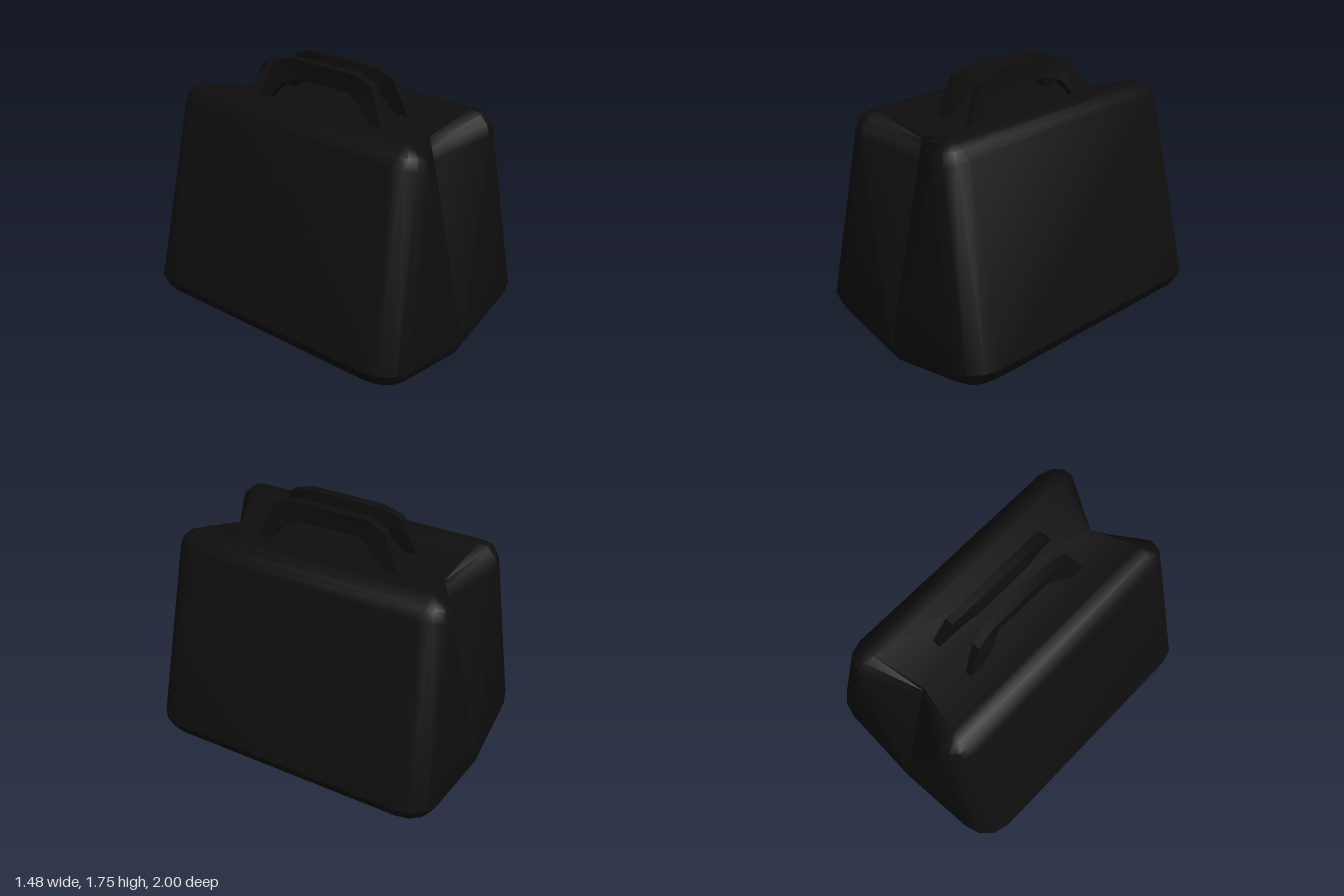
import * as THREE from 'three';
import { toCreasedNormals } from 'three/addons/utils/BufferGeometryUtils.js';

// Skins a list of equal-length rings; caps are quads of ring indices.
function loft(rings, caps, crease) {
  const out = [];
  const tri = (...pts) => {
    const [a, b, c] = pts.map((p) => new THREE.Vector3(...p));
    if (b.sub(a).cross(c.sub(a)).length() > 1e-7) pts.forEach((p) => out.push(...p));
  };
  for (let k = 0; k < rings.length - 1; k++) {
    const lo = rings[k], up = rings[k + 1], n = lo.length;
    for (let i = 0; i < n; i++) {
      const j = (i + 1) % n;
      // the diagonals mirror about the centre fold
      if (Math.abs(lo[i][0]) <= Math.abs(lo[j][0])) {
        tri(lo[i], lo[j], up[j]);
        tri(lo[i], up[j], up[i]);
      } else {
        tri(lo[i], lo[j], up[i]);
        tri(lo[j], up[j], up[i]);
      }
    }
  }
  const first = rings[0], last = rings[rings.length - 1];
  for (const [a, b, c, d] of caps) {
    tri(last[a], last[b], last[c]);
    tri(last[a], last[c], last[d]);
    tri(first[a], first[c], first[b]);
    tri(first[a], first[d], first[c]);
  }
  const geo = new THREE.BufferGeometry();
  geo.setAttribute('position', new THREE.Float32BufferAttribute(out, 3));
  return toCreasedNormals(geo, crease);
}

// Horizontal ring: rounded corners, folded along x = 0 in height and depth.
function bodyRing([halfX, y0, slope, zCentre, zEnd, r]) {
  const quarter = [[0, zCentre]];
  for (let i = 0; i <= 3; i++) {
    const a = (i * Math.PI) / 6;
    quarter.push([halfX - r + r * Math.sin(a), zEnd - r + r * Math.cos(a)]);
  }
  const side = (sx, sz) => quarter.map(([x, z]) => [sx * x, y0 + slope * x, sz * z]);
  return [
    ...side(1, 1),
    ...side(1, -1).reverse(),
    ...side(-1, -1).slice(1),
    ...side(-1, 1).reverse().slice(0, -1),
  ];
}

export function createModel() {
  const group = new THREE.Group();
  const black = new THREE.MeshStandardMaterial({ color: 0x0e0e0e });
  black.name = 'black leather';

  // Bag body: half width, centre height, slope, centre depth, end depth, corner radius
  const levels = [
    [0.53, 0.005, 0.15, 0.80, 0.78, 0],
    [0.62, 0.015, 0.20, 0.88, 0.87, 0.09],
    [0.70, 0.07, 0.185, 0.95, 0.935, 0.16],
    [0.74, 0.17, 0.155, 1.00, 0.98, 0.20],
    [0.47, 1.32, 0.28, 0.73, 0.90, 0.15],
    [0.43, 1.385, 0.28, 0.715, 0.88, 0.11],
    [0.38, 1.43, 0.28, 0.70, 0.83, 0.06],
    [0.315, 1.455, 0.28, 0.69, 0.77, 0],
  ];
  const body = new THREE.Mesh(
    loft(levels.map(bodyRing), [[0, 1, 8, 9], [0, 9, 10, 17]], 0.6), black);
  body.name = 'bagBody';
  group.add(body);

  // Carry handles: [z, y, inner x, outer x] of the upper and lower edges
  const half = [
    { top: [0.475, 1.47, 0.11, 0.157], low: [0.40, 1.47, 0.11, 0.157] },
    { top: [0.37, 1.715, 0.075, 0.128], low: [0.29, 1.60, 0.065, 0.15] },
    { top: [0.24, 1.76, 0.06, 0.115], low: [0.20, 1.635, 0.04, 0.11] },
  ];
  const flip = ([z, ...rest]) => [-z, ...rest];
  const stations = [
    ...half,
    ...half.slice().reverse().map((s) => ({ top: flip(s.top), low: flip(s.low) })),
  ];
  for (const [s, name] of [[1, 'leftHandle'], [-1, 'rightHandle']]) {
    const rings = stations.map(({ top, low }) => {
      const ring = [
        [s * low[2], low[1], low[0]],
        [s * top[2], top[1], top[0]],
        [s * top[3], top[1], top[0]],
        [s * low[3], low[1], low[0]],
      ];
      return s > 0 ? ring : ring.reverse();
    });
    const handle = new THREE.Mesh(loft(rings, [[0, 1, 2, 3]], 0.7), black);
    handle.name = name;
    group.add(handle);
  }
  return group;
}
